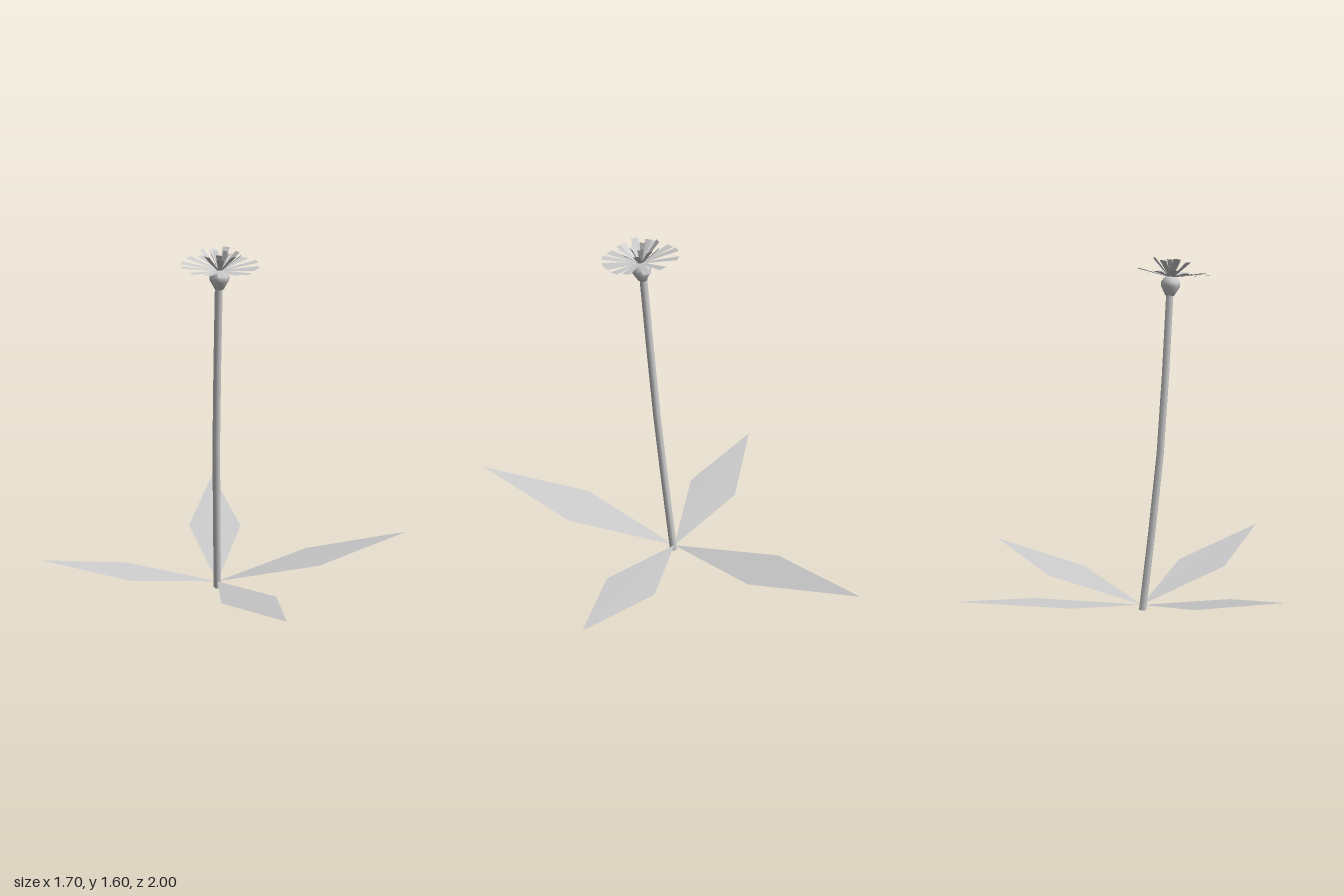
import * as THREE from 'three';

const grey = new THREE.MeshStandardMaterial({ color: 0xcccccc, side: THREE.DoubleSide });
grey.name = 'pale grey';

// Flat four-cornered blade
function quad(name, a, b, c, d) {
  const geo = new THREE.BufferGeometry();
  geo.setAttribute('position', new THREE.Float32BufferAttribute([a, b, c, d].flat(), 3));
  geo.setIndex([0, 1, 2, 0, 2, 3]);
  geo.computeVertexNormals();
  const mesh = new THREE.Mesh(geo, grey);
  mesh.name = name;
  return mesh;
}

// Petal fanning out from the head's axis, wider at its tip
function petal(name, angle, r0, y0, r1, y1, w0, w1) {
  const mesh = quad(name, [r0, y0, w0 / 2], [r1, y1, w1 / 2], [r1, y1, -w1 / 2], [r0, y0, -w0 / 2]);
  mesh.rotation.y = -THREE.MathUtils.degToRad(angle);
  return mesh;
}

export function createModel() {
  const model = new THREE.Group();
  model.name = 'flower';

  // Diamond leaves: side corner, tip, other side corner
  const base = [-0.05, 0.025, 0.015];
  const leaves = [
    ['frontLeaf', [-0.09, 0.12, 0.53], [0.12, 0.215, 1.0], [0.155, 0.12, 0.48]],
    ['backLeaf', [0.12, 0.12, -0.48], [0.04, 0.22, -1.0], [-0.13, 0.125, -0.5]],
    ['leftLeaf', [0.41, 0.11, 0.095], [0.85, 0.2, -0.07], [0.39, 0.11, -0.15]],
    ['rightLeaf', [-0.46, 0.1, -0.08], [-0.85, 0.18, 0.065], [-0.45, 0.1, 0.165]],
  ];
  for (const [name, side, tip, other] of leaves) model.add(quad(name, base, side, tip, other));

  // Leaning stem with a slight bend
  const path = new THREE.CatmullRomCurve3([
    new THREE.Vector3(-0.05, 0, 0.02),
    new THREE.Vector3(-0.065, 0.72, 0.118),
    new THREE.Vector3(-0.06, 1.44, 0.182),
  ]);
  const stem = new THREE.Mesh(new THREE.TubeGeometry(path, 4, 0.017, 6), grey);
  stem.name = 'stem';
  model.add(stem);

  // Flower head, tilted with the stem
  const head = new THREE.Group();
  head.name = 'flowerHead';
  head.position.set(-0.058, 1.42, 0.182);
  head.rotation.x = 0.12;
  model.add(head);

  const profile = [[0, 0], [0.02, 0.002], [0.042, 0.042], [0.043, 0.062], [0.028, 0.085], [0, 0.09]];
  const bulb = new THREE.Mesh(
    new THREE.LatheGeometry(profile.map(([r, y]) => new THREE.Vector2(r, y)), 8), grey);
  bulb.name = 'bulb';
  head.add(bulb);

  // Spread outer petals
  const outer = [11, 30, 49, 68, 92, 115, 141, 168, 200, 223, 249, 291, 317, 349];
  outer.forEach((a, i) =>
    head.add(petal('outerPetal', a, 0.015, 0.086, 0.168, 0.105 + 0.007 * (i % 2), 0.014, 0.04)));

  // Raised inner petals and steep central ones
  for (let i = 0; i < 9; i++)
    head.add(petal('innerPetal', i * 40 + 15, 0.01, 0.086, 0.09, 0.155 + 0.01 * (i % 2), 0.012, 0.032));
  for (let i = 0; i < 5; i++)
    head.add(petal('centrePetal', i * 72 + 30, 0.006, 0.086, 0.038, 0.162, 0.01, 0.026));

  return model;
}
